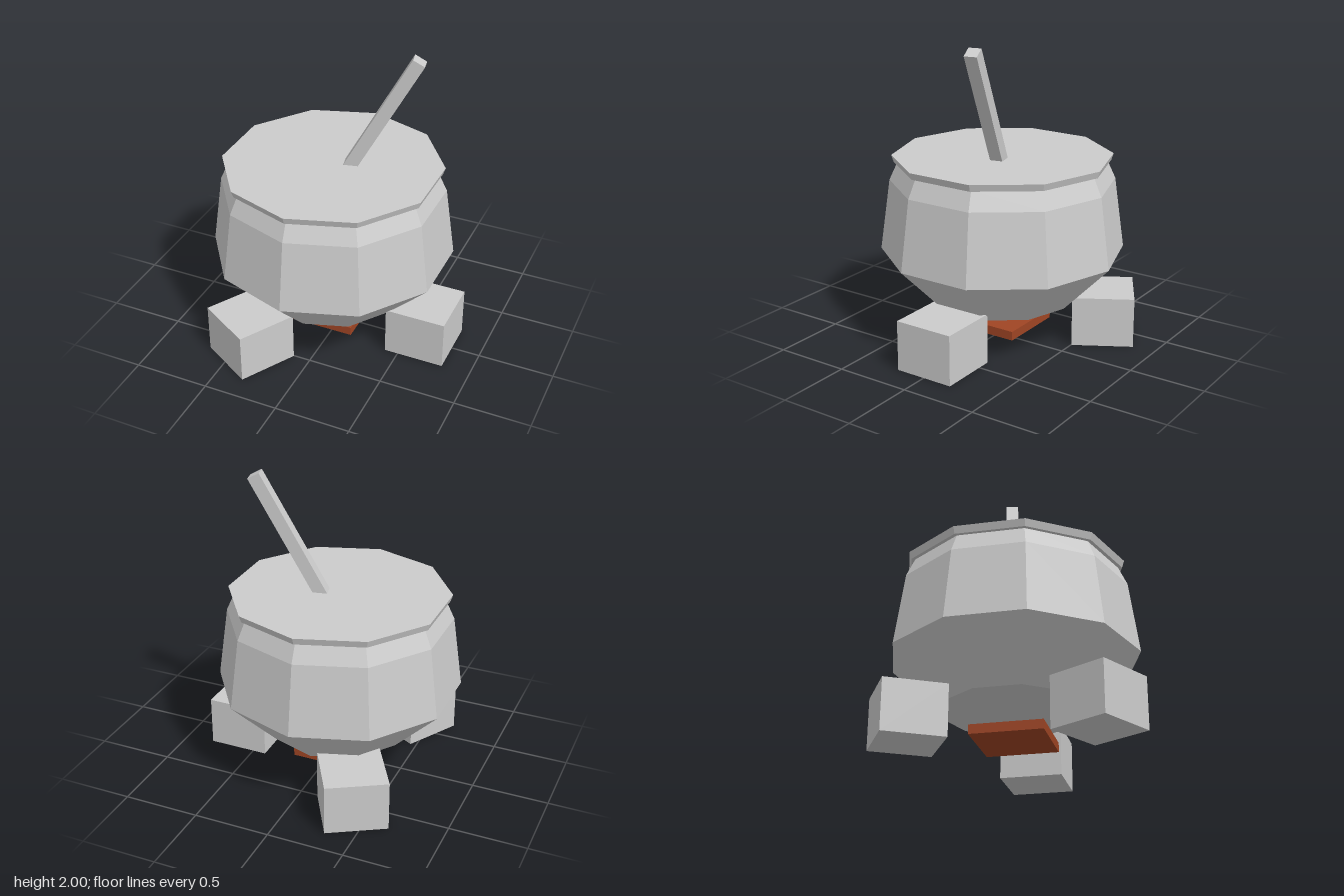
import * as THREE from 'three';

const CENTRE_X = -0.055; // axis of the pot

export function createModel() {
  const model = new THREE.Group();
  const grey = new THREE.MeshStandardMaterial({ color: 0xcccccc, flatShading: true });
  const ember = new THREE.MeshStandardMaterial({ color: 0xa04524, flatShading: true });

  const add = (parent, name, geometry, material, x = 0, y = 0, z = 0) => {
    const mesh = new THREE.Mesh(geometry, material);
    mesh.name = name;
    mesh.position.set(x, y, z);
    parent.add(mesh);
    return mesh;
  };

  // Ten-sided pot: closed base, belly, shoulder, flared rim and flat surface
  const profile = [
    [0, 0.27], [0.475, 0.27], [0.795, 0.6], [0.73, 1.065],
    [0.675, 1.185], [0.7, 1.185], [0.715, 1.23], [0, 1.23],
  ].map(([r, y]) => new THREE.Vector2(r, y));
  add(model, 'pot', new THREE.LatheGeometry(profile, 10), grey, CENTRE_X);

  // Three block feet spaced evenly around the pot
  const feet = new THREE.Group();
  feet.name = 'feet';
  feet.position.x = CENTRE_X;
  const footGeometry = new THREE.BoxGeometry(0.4, 0.33, 0.4);
  for (let i = 0; i < 3; i++) {
    const a = (i * Math.PI * 2) / 3;
    const foot = add(feet, 'foot', footGeometry, grey, 0.665 * Math.cos(a), 0.165, -0.665 * Math.sin(a));
    foot.rotation.y = a;
  }
  model.add(feet);

  // Glowing slab under the pot
  add(model, 'fireSlab', new THREE.BoxGeometry(0.46, 0.06, 0.46), ember, CENTRE_X, 0.1, 0);

  // Leaning stirring stick, its origin at the upper end
  const length = 1.15;
  const stickGeometry = new THREE.BoxGeometry(0.083, length, 0.083).translate(0, -length / 2, 0);
  const stick = add(model, 'stirringStick', stickGeometry, grey, 0.457, 1.98, -0.133);
  stick.rotation.set(0, THREE.MathUtils.degToRad(12.3), THREE.MathUtils.degToRad(-28.75), 'YZX');

  return model;
}
